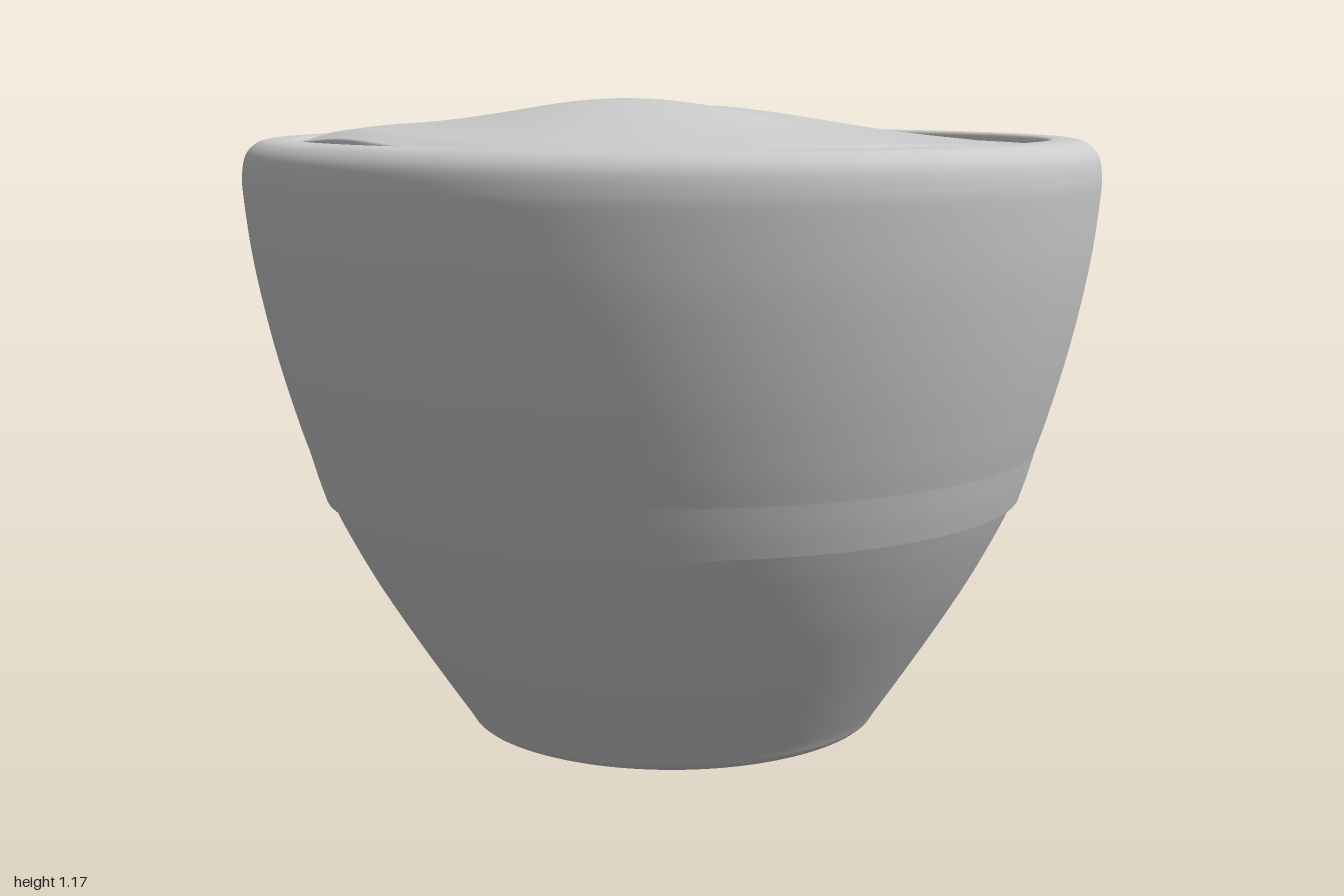
import * as THREE from 'three';

const material = new THREE.MeshStandardMaterial({ color: 0xcccccc });
const CUP_Z = 0.225;
const smooth = THREE.MathUtils.smoothstep;
const bell = (v, centre, width) => Math.exp(-(((v - centre) / width) ** 2));

function addMesh(group, name, geometry) {
  const mesh = new THREE.Mesh(geometry, material);
  mesh.name = name;
  group.add(mesh);
  return mesh;
}

// Smooth surface of revolution through a few [radius, height] points
function lathe(points, steps) {
  const curve = new THREE.SplineCurve(points.map(([r, y]) => new THREE.Vector2(r, y)));
  return new THREE.LatheGeometry(curve.getPoints(steps), 96);
}

// Surface from rows x cols points; each row closes on itself
function gridSurface(rows, cols, pointAt) {
  const positions = [], index = [];
  for (let i = 0; i <= rows; i++) {
    for (let j = 0; j < cols; j++) {
      positions.push(...pointAt(i / rows, (j / cols) * Math.PI * 2));
      if (i === rows) continue;
      const a = i * cols + j, b = i * cols + ((j + 1) % cols);
      index.push(a, b, a + cols, b, b + cols, a + cols);
    }
  }
  const geometry = new THREE.BufferGeometry();
  geometry.setAttribute('position', new THREE.Float32BufferAttribute(positions, 3));
  geometry.setIndex(index);
  geometry.computeVertexNormals();
  return geometry;
}

// Wavy foam height: a main swell near the front, a lower one at the back
function foamHeight(x, z) {
  const along = (0.05 + 0.036 * bell(z, 0.45, 0.22) + 0.015 * bell(z, -0.33, 0.17))
    * (1 - 0.8 * smooth(z, 0.62, 0.92));
  const leftLip = 0.012 * smooth(-x, 0.2, 0.5) + 0.006 * bell(x, -0.5, 0.1);
  return 1.087 + along * bell(x, -0.05, 0.36) + leftLip;
}

// Foam: wavy top with a short skirt; it stops short of the rim at the front left
function foamGeometry() {
  return gridSurface(48, 96, (t, angle) => {
    const edge = 0.675 - 0.075 * Math.exp(4 * (Math.cos(angle - 0.4) - 1));
    const r = edge * Math.min(1, t / 0.93);
    const x = Math.cos(angle) * r, z = CUP_Z + Math.sin(angle) * r;
    const drop = 0.01 * smooth(t, 0.85, 0.93) + 0.06 * smooth(t, 0.93, 1);
    return [x, foamHeight(x, z) - drop, z];
  });
}

// Handle: each point is [z, y, radius]; the radius rides along as curve x
function handleGeometry() {
  const path = new THREE.CatmullRomCurve3([
    [-0.5, 0.885, 0.165], [-0.55, 0.905, 0.13], [-0.59, 0.922, 0.093], [-0.645, 0.948, 0.067],
    [-0.735, 0.965, 0.06], [-0.85, 0.915, 0.058], [-0.93, 0.8, 0.058], [-0.937, 0.69, 0.058],
    [-0.87, 0.57, 0.054], [-0.76, 0.495, 0.052], [-0.62, 0.46, 0.051], [-0.5, 0.425, 0.056],
    [-0.43, 0.392, 0.072], [-0.385, 0.37, 0.072], [-0.335, 0.35, 0.05], [-0.31, 0.34, 0.005],
  ].map(([z, y, r]) => new THREE.Vector3(r, y, z)));
  return gridSurface(120, 32, (t, angle) => {
    const p = path.getPoint(t), d = path.getTangent(t);
    const length = Math.hypot(d.y, d.z);
    const side = Math.cos(angle) * p.x, out = Math.sin(angle) * p.x;
    return [side * 1.17, p.y + (out * d.z) / length, p.z - (out * d.y) / length];
  });
}

export function createModel() {
  const model = new THREE.Group();
  model.name = 'cup';
  const bowl = new THREE.Group();
  bowl.name = 'bowl';
  bowl.position.z = CUP_Z;
  model.add(bowl);

  // Underside and tapering lower wall
  addMesh(bowl, 'base', lathe([[0, 0], [0.15, 0.001], [0.28, 0.004], [0.35, 0.01]], 12));
  addMesh(bowl, 'lowerWall', lathe([
    [0.35, 0.01], [0.375, 0.022], [0.391, 0.045], [0.434, 0.108], [0.498, 0.205],
    [0.557, 0.3], [0.606, 0.39], [0.635, 0.45],
  ], 40));

  // Overlapping step and band around the middle
  addMesh(bowl, 'step', new THREE.LatheGeometry(
    [new THREE.Vector2(0.625, 0.45), new THREE.Vector2(0.643, 0.45)], 96));
  addMesh(bowl, 'band', lathe([[0.643, 0.45], [0.658, 0.495], [0.671, 0.54]], 8));

  // Upper wall, rounded rim and the inner wall down to the drink
  addMesh(bowl, 'upperWall', lathe([
    [0.671, 0.54], [0.691, 0.6], [0.72, 0.7], [0.744, 0.8], [0.763, 0.9], [0.775, 1.0],
    [0.776, 1.04], [0.769, 1.073], [0.75, 1.093], [0.725, 1.1], [0.69, 1.1],
  ], 80));
  addMesh(bowl, 'innerRim', lathe([[0.69, 1.1], [0.682, 1.096], [0.678, 1.08], [0.678, 1.05]], 10));
  const drink = addMesh(bowl, 'drink', new THREE.CircleGeometry(0.68, 96));
  drink.rotation.x = -Math.PI / 2;
  drink.position.y = 1.085;

  addMesh(model, 'foam', foamGeometry());

  // Looped handle at the back
  addMesh(model, 'handle', handleGeometry());
  return model;
}
